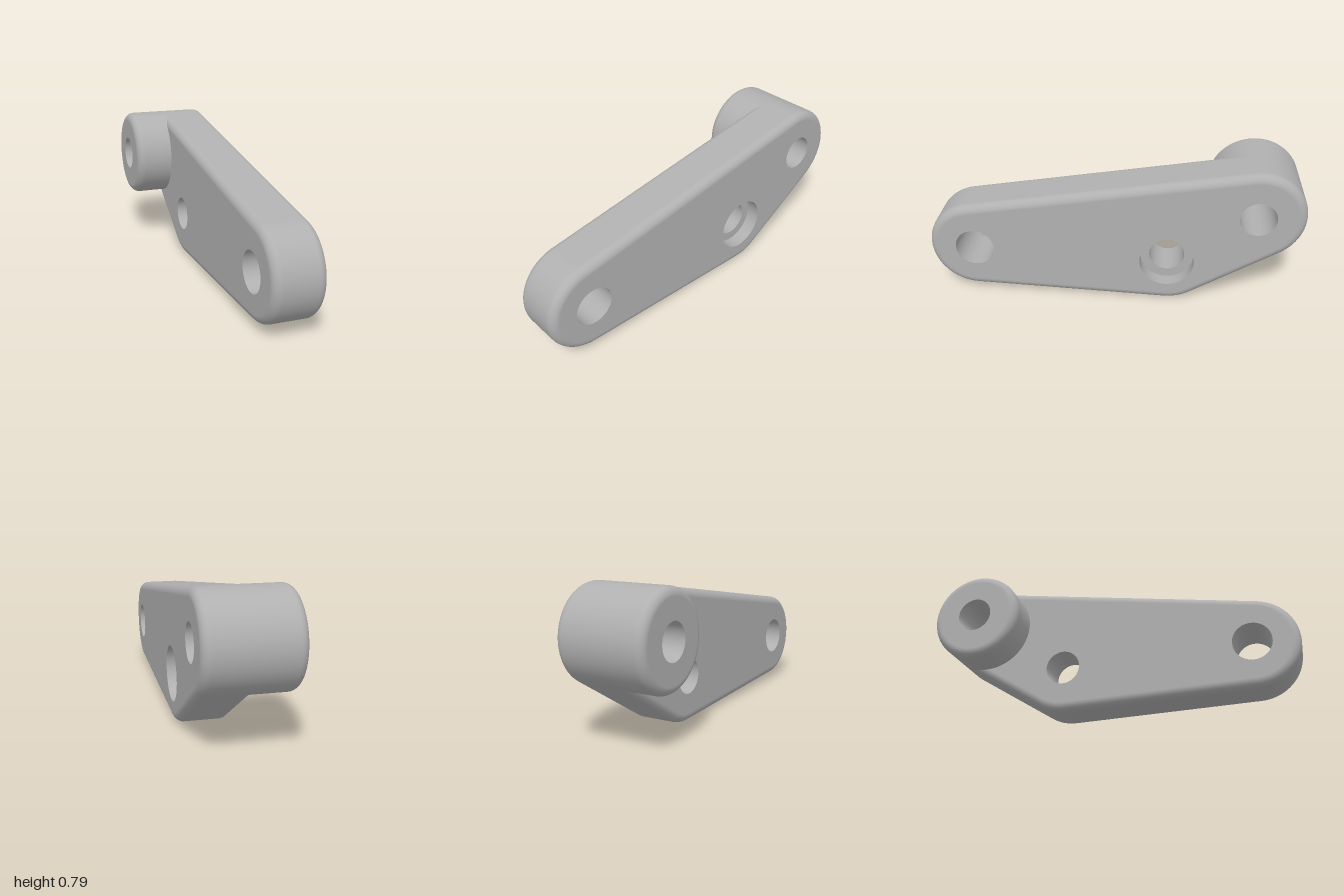
import * as THREE from 'three';

// Local frame: x runs to the rear, y up, z across the thickness (turned into place at the end).
const MID = [0.29, 0.252], REAR = [0.75, 0.54], FRONT = [-0.75, 0.287];
const R = 0.25, FILLET = 0.046;
const X_OUT = 0.24, X_IN = -0.033, X_BOSS = -0.24;
const HOLE = 0.095, FRONT_HOLE = 0.105, BORE = 0.145, BORE_FLOOR = X_OUT - 0.075;

// Counter-clockwise outline around equal circles: list of { c: centre, n: outward normal }
function outline(centres) {
  const pts = [], k = centres.length;
  const edgeAngle = (a, b) => Math.atan2(-(b[0] - a[0]), b[1] - a[1]);
  centres.forEach((c, i) => {
    let a0 = 0, a1 = Math.PI * 2;
    if (k > 1) {
      a0 = edgeAngle(centres[(i + k - 1) % k], c);
      a1 = edgeAngle(c, centres[(i + 1) % k]);
      while (a1 < a0) a1 += Math.PI * 2;
    }
    const steps = Math.max(8, Math.ceil((a1 - a0) / (Math.PI * 2) * 72));
    for (let s = 0; s <= steps; s++) {
      const a = a0 + (a1 - a0) * s / steps;
      pts.push({ c, n: [Math.cos(a), Math.sin(a)] });
    }
  });
  if (k > 1) pts.push(pts[0]);
  return pts;
}

// Sweep a profile of [radius, z, radial normal, z normal] around an outline
function loft(centres, profile) {
  const ring = outline(centres), w = ring.length;
  const pos = [], nor = [], idx = [];
  profile.forEach(([r, z, nr, nz], j) => ring.forEach(({ c, n }, i) => {
    pos.push(c[0] + n[0] * r, c[1] + n[1] * r, z);
    nor.push(n[0] * nr, n[1] * nr, nz);
    if (j && i) {
      const d = j * w + i - 1, a = d - w;
      idx.push(a, a + 1, d + 1, a, d + 1, d);
    }
  }));
  const g = new THREE.BufferGeometry();
  g.setAttribute('position', new THREE.Float32BufferAttribute(pos, 3));
  g.setAttribute('normal', new THREE.Float32BufferAttribute(nor, 3));
  g.setIndex(idx);
  return g;
}

// Quarter-round edge; dir is -1 for the low face, +1 for the high face
function fillet(z, dir) {
  const rows = [];
  for (let i = 0; i <= 8; i++) {
    const a = i / 8 * Math.PI / 2, s = Math.sin(a), c = Math.cos(a);
    rows.push([R - FILLET + FILLET * c, z + dir * FILLET * (s - 1), c, dir * s]);
  }
  return dir < 0 ? rows.reverse() : rows;
}

// Flat face inside the fillet, pierced by round holes [centre, radius]
function face(centres, z, dir, holes) {
  const r = R - FILLET;
  const shape = new THREE.Shape(outline(centres).slice(0, -1)
    .map(({ c, n }) => new THREE.Vector2(c[0] + n[0] * r, c[1] + n[1] * r)));
  for (const [c, hr] of holes) {
    shape.holes.push(new THREE.Path().absarc(c[0], c[1], hr, 0, Math.PI * 2, true));
  }
  const g = new THREE.ShapeGeometry(shape, 36);
  if (dir < 0) g.rotateY(Math.PI).scale(-1, 1, 1);
  if (dir < 0) {
    // mirroring reverses the corner order, so restore it by hand
    const p = g.attributes.position, n = g.attributes.normal, id = g.index.array;
    for (let i = 0; i < p.count; i++) n.setXYZ(i, 0, 0, -1);
    for (let i = 0; i < id.length; i += 3) {
      const [a, b, c] = [0, 1, 2].map(k => new THREE.Vector2(p.getX(id[i + k]), p.getY(id[i + k])));
      if (b.sub(a).cross(c.sub(a)) > 0) [id[i + 1], id[i + 2]] = [id[i + 2], id[i + 1]];
    }
  }
  return g.translate(0, 0, z);
}

export function createModel() {
  const model = new THREE.Group();
  model.name = 'leverArm';
  const grey = new THREE.MeshStandardMaterial({ color: 0xb0b0b0 });
  grey.name = 'grey';
  const part = (name, geometry) => {
    const mesh = new THREE.Mesh(geometry, grey);
    mesh.name = name;
    model.add(mesh);
  };

  // Three-cornered arm plate with rounded rims
  const arm = [MID, REAR, FRONT];
  part('armRim', loft(arm, [...fillet(X_IN, -1), ...fillet(X_OUT, 1)]));
  part('armOuterFace', face(arm, X_OUT, 1, [[MID, BORE], [REAR, HOLE], [FRONT, FRONT_HOLE]]));
  part('armInnerFace', face(arm, X_IN, -1, [[MID, HOLE], [REAR, HOLE], [FRONT, FRONT_HOLE]]));

  // Round boss on the inner side of the rear end
  part('bossRim', loft([REAR], [...fillet(X_BOSS, -1), [R, 0.15, 1, 0]]));
  part('bossFace', face([REAR], X_BOSS, -1, [[REAR, HOLE]]));

  // Hole walls, facing inward
  const wall = (r, hi, lo) => [[r, hi, -1, 0], [r, lo, -1, 0]];
  part('frontHole', loft([FRONT], wall(FRONT_HOLE, X_OUT, X_IN)));
  part('rearHole', loft([REAR], wall(HOLE, X_OUT, X_BOSS)));
  part('counterboredHole', loft([MID], [
    ...wall(BORE, X_OUT, BORE_FLOOR),
    [BORE, BORE_FLOOR, 0, 1], [HOLE, BORE_FLOOR, 0, 1],
    ...wall(HOLE, BORE_FLOOR, X_IN),
  ]));

  model.rotation.y = Math.PI / 2;
  const root = new THREE.Group();
  root.name = 'lever';
  root.add(model);
  return root;
}
